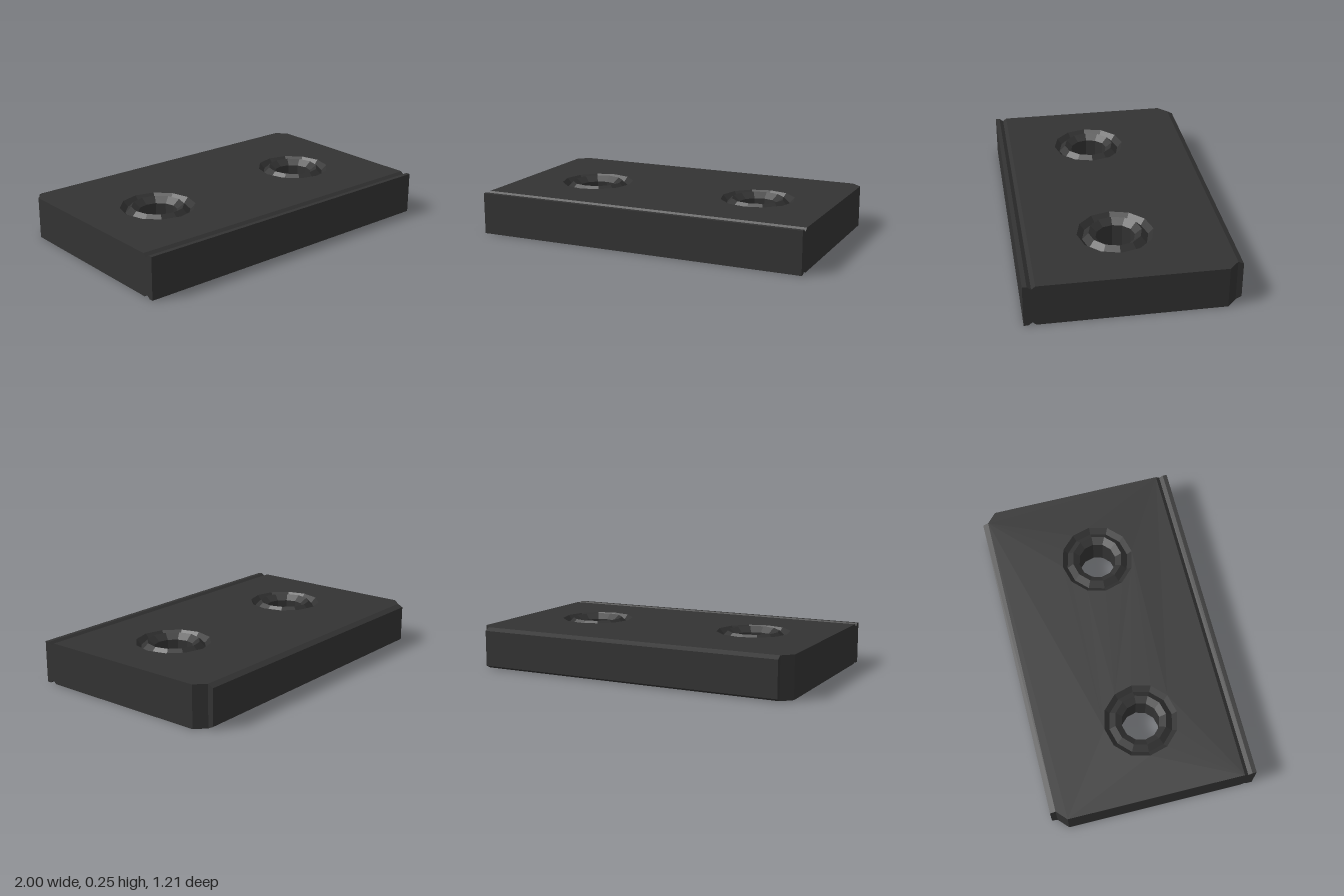
import * as THREE from 'three';

const H = 0.248, HOLE_X = 0.535, HOLE_Z = 0.035, HOLE_R = 0.22, SIDES = 12;

export function createModel() {
  const group = new THREE.Group();
  const material = new THREE.MeshStandardMaterial({ color: 0x333333, flatShading: true });

  const add = (name, geometry) => {
    const mesh = new THREE.Mesh(geometry, material);
    mesh.name = name;
    group.add(mesh);
    return mesh;
  };
  const shapeOf = (points) => new THREE.Shape(points.map(([x, y]) => new THREE.Vector2(x, y)));

  // Strip running across the plate, from a [z, y] side profile
  const strip = (name, width, profile) => {
    const g = new THREE.ExtrudeGeometry(shapeOf(profile.map(([z, y]) => [-z, y])),
      { depth: width, bevelEnabled: false });
    g.translate(0, 0, -width / 2);
    g.rotateY(Math.PI / 2);
    return add(name, g);
  };

  // Main plate with cut back corners and two twelve-sided holes (plan y is -z)
  const plan = shapeOf([
    [-1, -0.535], [1, -0.535], [1, 0.515], [0.94, 0.572], [-0.94, 0.572], [-1, 0.515],
  ]);
  for (const side of [-1, 1]) {
    const ring = [];
    for (let i = 0; i < SIDES; i++) {
      const a = (i / SIDES) * Math.PI * 2;
      ring.push(new THREE.Vector2(side * HOLE_X + HOLE_R * Math.cos(a), -HOLE_Z + HOLE_R * Math.sin(a)));
    }
    plan.holes.push(new THREE.Path(ring));
  }
  const plate = new THREE.ExtrudeGeometry(plan, { depth: H, bevelEnabled: false });
  plate.rotateX(-Math.PI / 2);
  add('plate', plate);

  // Front edge with a V groove above and below
  strip('frontEdge', 2, [
    [0.535, 0], [0.557, 0.018], [0.58, 0], [0.605, 0],
    [0.605, H], [0.58, H], [0.557, H - 0.018], [0.535, H],
  ]);

  // Bevelled back edge
  strip('backEdge', 1.88, [
    [-0.572, 0], [-0.605, 0.017], [-0.605, H - 0.017], [-0.572, H],
  ]);

  // Hole linings: grooved raised lip on top, bore, shallow recess below
  const lining = [
    [HOLE_R, H], [0.19, 0.215], [0.153, 0.252], [0.113, 0.22],
    [0.113, 0.028], [0.19, 0.028], [HOLE_R, 0],
  ].map(([r, y]) => new THREE.Vector2(r, y));
  for (const [side, name] of [[1, 'leftHole'], [-1, 'rightHole']]) {
    add(name, new THREE.LatheGeometry(lining, SIDES)).position.set(side * HOLE_X, 0, HOLE_Z);
  }

  return group;
}
